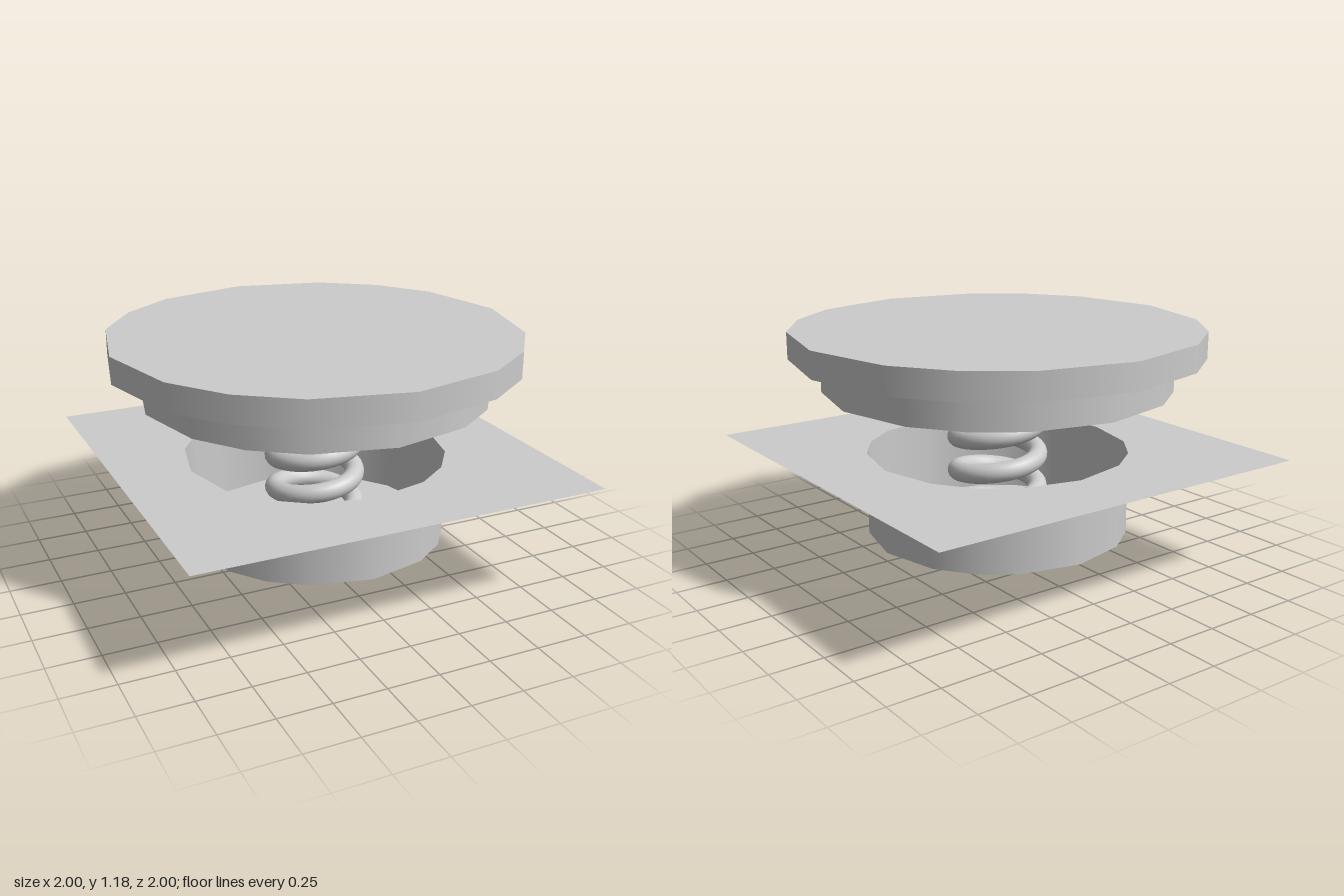
import * as THREE from 'three';

const grey = new THREE.MeshStandardMaterial({ color: 0xcccccc });
const greyThin = new THREE.MeshStandardMaterial({ color: 0xcccccc, side: THREE.DoubleSide });

// Sixteen-sided round with slightly uneven sides: shift of each corner's angle
const SHIFT = Math.atan(0.5) - Math.PI / 8;
const uneven = (a) => a + SHIFT * Math.sin(4 * a);

// Turns every vertex and normal about y to the uneven corner angles
function makeUneven(geometry) {
  const { position, normal } = geometry.attributes;
  const p = new THREE.Vector3();
  const n = new THREE.Vector3();
  const up = new THREE.Vector3(0, 1, 0);
  for (let i = 0; i < position.count; i++) {
    p.fromBufferAttribute(position, i);
    n.fromBufferAttribute(normal, i);
    const a = Math.atan2(p.z, p.x);
    const turn = a - uneven(a);
    p.applyAxisAngle(up, turn);
    n.applyAxisAngle(up, turn);
    position.setXYZ(i, p.x, p.y, p.z);
    normal.setXYZ(i, n.x, n.y, n.z);
  }
  return geometry;
}

function outline(r) {
  return Array.from({ length: 16 }, (_, i) => {
    const a = uneven((i * Math.PI) / 8);
    return new THREE.Vector2(r * Math.cos(a), r * Math.sin(a));
  });
}

function drum(name, r, y0, y1, open) {
  const geometry = new THREE.CylinderGeometry(r, r, y1 - y0, 16, 1, open);
  geometry.translate(0, (y0 + y1) / 2, 0);
  const mesh = new THREE.Mesh(makeUneven(geometry), open ? greyThin : grey);
  mesh.name = name;
  return mesh;
}

// Flat horizontal sheet, with an optional sixteen-sided hole
function sheet(name, points, y, holeRadius) {
  const shape = new THREE.Shape(points);
  if (holeRadius) shape.holes.push(new THREE.Path(outline(holeRadius)));
  const geometry = new THREE.ShapeGeometry(shape).rotateX(-Math.PI / 2).translate(0, y, 0);
  const mesh = new THREE.Mesh(geometry, greyThin);
  mesh.name = name;
  return mesh;
}

class Helix extends THREE.Curve {
  constructor(radius, y0, pitch, turns) {
    super();
    Object.assign(this, { radius, y0, pitch, turns });
  }
  getPoint(t, target = new THREE.Vector3()) {
    const a = t * this.turns * 2 * Math.PI;
    return target.set(
      -this.radius * Math.cos(a),
      this.y0 + t * this.turns * this.pitch,
      this.radius * Math.sin(a)
    );
  }
}

function spring() {
  const group = new THREE.Group();
  group.name = 'spring';
  const wire = 0.048;
  const helix = new Helix(0.2, wire, 0.171, 6);
  const coil = new THREE.Mesh(new THREE.TubeGeometry(helix, 240, wire, 16), grey);
  coil.name = 'coil';
  group.add(coil);
  // Flat wire ends
  for (const t of [0, 1]) {
    const end = new THREE.Mesh(new THREE.CircleGeometry(wire, 16), grey);
    end.name = t ? 'upperWireEnd' : 'lowerWireEnd';
    const point = helix.getPoint(t);
    end.position.copy(point);
    end.lookAt(point.clone().addScaledVector(helix.getTangent(t), t ? 1 : -1));
    group.add(end);
  }
  return group;
}

export function createModel() {
  const model = new THREE.Group();
  model.name = 'springButton';
  const cupRadius = 0.645;

  // Button: wide cap on a narrower collar that is hollow underneath
  const button = new THREE.Group();
  button.name = 'button';
  button.add(
    drum('cap', 1, 1.05, 1.18, false),
    drum('collar', 0.85, 0.885, 1.05, true),
    drum('collarRecess', cupRadius, 0.885, 1.05, true),
    sheet('collarRim', outline(0.85), 0.885, cupRadius)
  );

  // Base: square sheet with an open cup hanging from its hole
  const base = new THREE.Group();
  base.name = 'base';
  const square = [[-1, -1], [1, -1], [1, 1], [-1, 1]].map(([x, y]) => new THREE.Vector2(x, y));
  base.add(
    sheet('basePlate', square, 0.57, cupRadius),
    drum('cupWall', cupRadius, 0.16, 0.57, true),
    sheet('cupFloor', outline(cupRadius), 0.16)
  );

  model.add(button, base, spring());
  return model;
}
